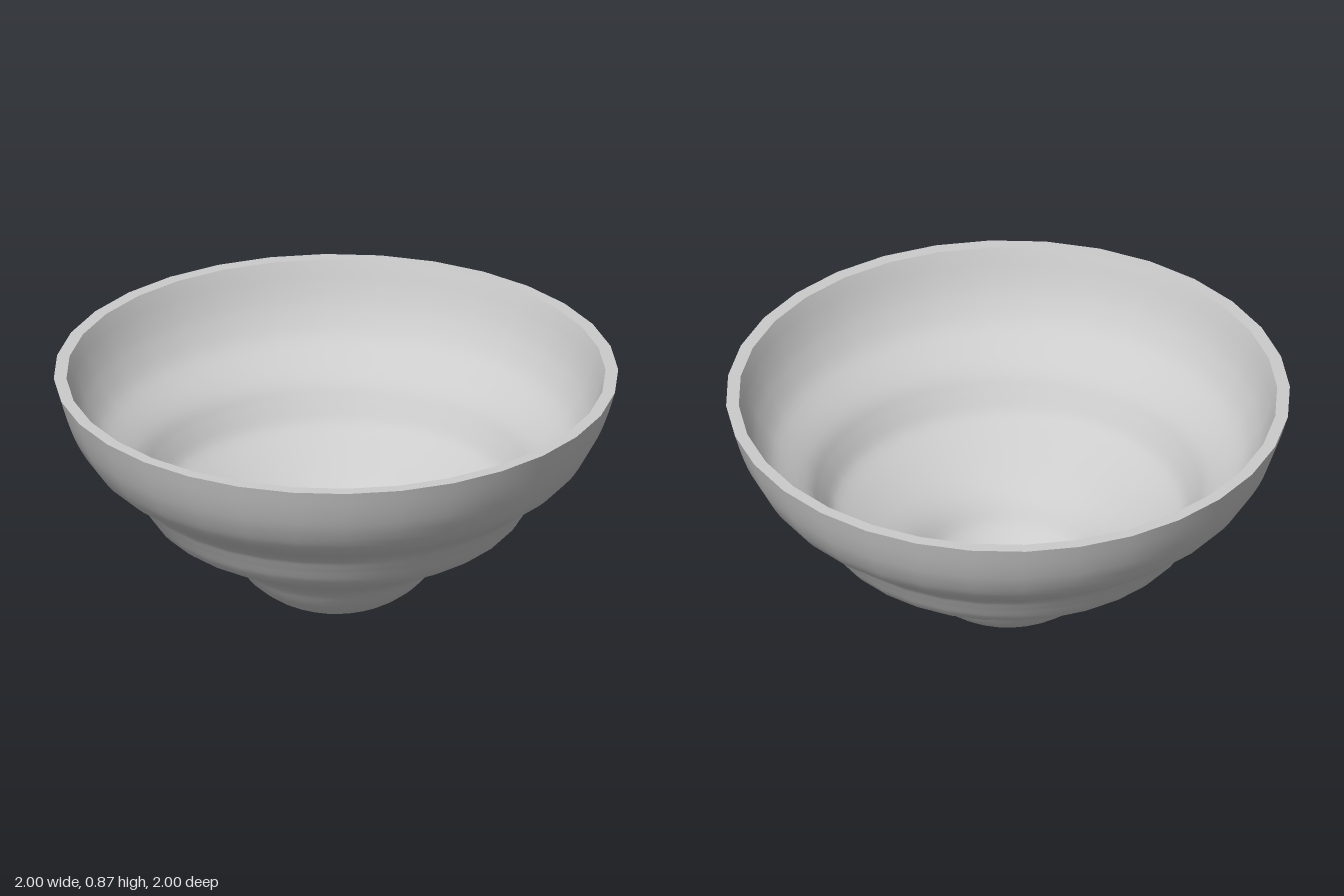
import * as THREE from 'three';

const SIDES = 32;
const HEIGHT = 0.87;
const WALL = 0.045;

export function createModel() {
  const bowl = new THREE.Group();
  bowl.name = 'bowl';
  const material = new THREE.MeshStandardMaterial({ color: 0xcccccc });

  const addLathe = (name, points) => {
    const mesh = new THREE.Mesh(new THREE.LatheGeometry(points, SIDES), material);
    mesh.name = name;
    bowl.add(mesh);
  };

  // Wavy outer profile: three stacked, swelling tiers
  const curve = new THREE.SplineCurve([
    [0, 0], [0.07, 0], [0.135, 0.003], [0.23, 0.04], [0.315, 0.105], [0.39, 0.195],
    [0.53, 0.275], [0.645, 0.345], [0.705, 0.43], [0.75, 0.492], [0.865, 0.58],
    [0.93, 0.675], [0.97, 0.77], [1, HEIGHT],
  ].map(([r, y]) => new THREE.Vector2(r, y)));

  const outer = [];
  const inner = [];
  const steps = 52;
  for (let i = 0; i <= steps; i++) {
    const p = curve.getPoint(i / steps);
    const t = curve.getTangent(i / steps);
    outer.push(new THREE.Vector2(p.x, Math.max(0, p.y)));
    // Inner wall follows the outer one at a constant thickness
    const q = new THREE.Vector2(Math.max(0, p.x - t.y * WALL), p.y + t.x * WALL);
    if (q.y < HEIGHT - 0.01) inner.push(q);
  }
  inner[0].x = 0;
  inner.push(new THREE.Vector2(0.955, HEIGHT));

  addLathe('outerWall', outer);
  // Flat rim, kept separate so its edges stay sharp
  addLathe('rim', [new THREE.Vector2(1, HEIGHT), new THREE.Vector2(0.955, HEIGHT)]);
  addLathe('innerWall', inner.reverse());

  return bowl;
}
